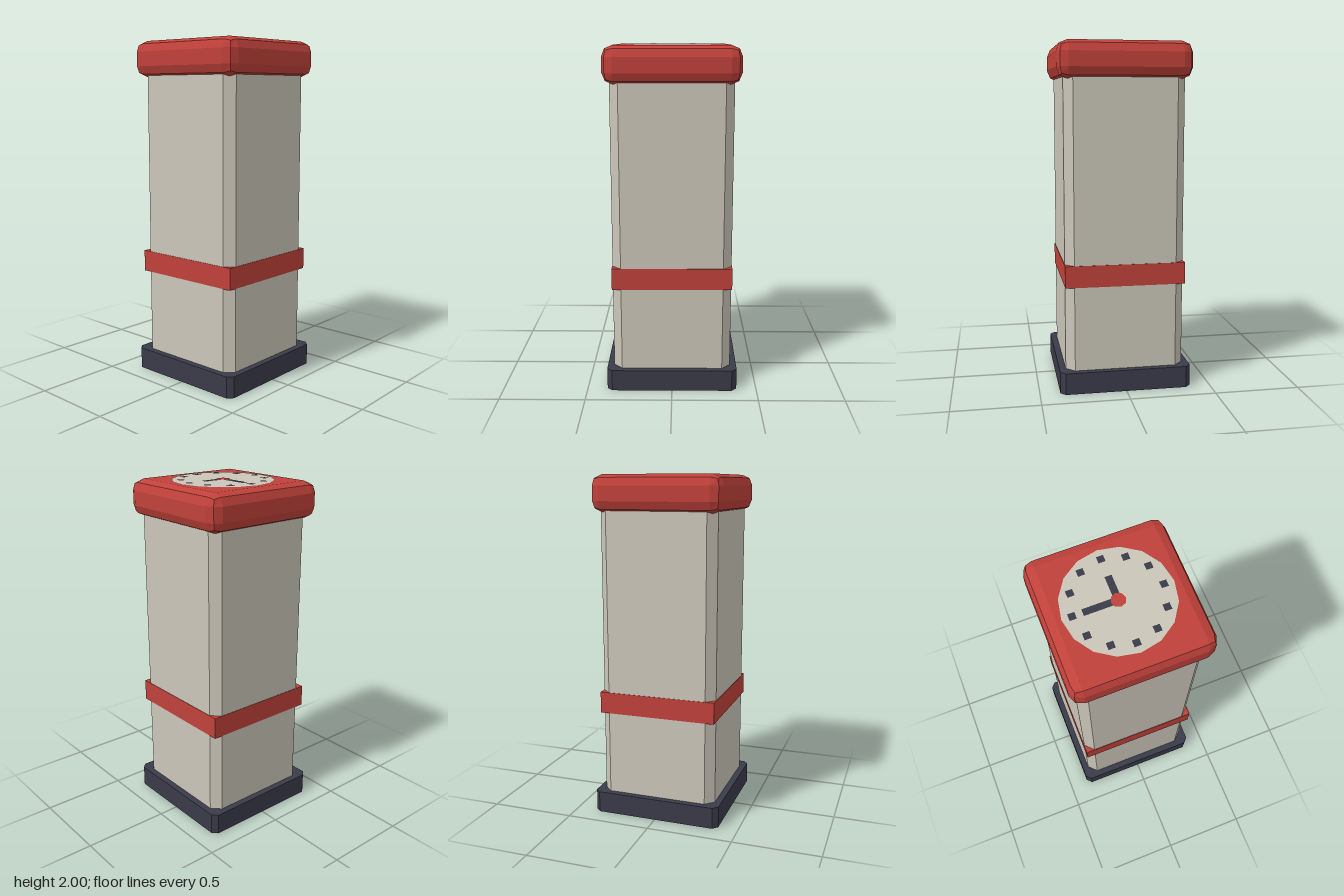
import * as THREE from 'three';
import { RoundedBoxGeometry } from 'three/addons/geometries/RoundedBoxGeometry.js';

const material = (name, color) => {
  const m = new THREE.MeshStandardMaterial({ color, flatShading: true });
  m.name = name;
  return m;
};

// Upright square prism with its four vertical corners cut off
function chamferedPrism(half, cut, height) {
  const a = half, b = half - cut;
  const outline = [[a, -b], [a, b], [b, a], [-b, a], [-a, b], [-a, -b], [-b, -a], [b, -a]];
  const shape = new THREE.Shape(outline.map(([x, y]) => new THREE.Vector2(x, y)));
  return new THREE.ExtrudeGeometry(shape, { depth: height, bevelEnabled: false }).rotateX(-Math.PI / 2);
}

export function createModel() {
  const model = new THREE.Group();
  model.name = 'clockPillar';
  const cream = material('cream', 0xcbc6b9);
  const red = material('red', 0xc0413a);
  const navy = material('navy', 0x3a3b49);

  const add = (name, geometry, mat, x = 0, y = 0, z = 0, parent = model) => {
    const mesh = new THREE.Mesh(geometry, mat);
    mesh.name = name;
    mesh.position.set(x, y, z);
    parent.add(mesh);
    return mesh;
  };

  // Pillar
  add('base', chamferedPrism(0.383, 0.03, 0.126), navy);
  add('column', chamferedPrism(0.345, 0.05, 1.7), cream, 0, 0.12);
  add('band', new THREE.BoxGeometry(0.695, 0.126, 0.695), red, 0, 0.68);
  add('cap', new RoundedBoxGeometry(0.766, 0.21, 0.766, 1, 0.063), red, 0, 1.891);

  // Clock dial lying on the cap
  const clock = new THREE.Group();
  clock.name = 'clock';
  clock.position.y = 1.996;
  model.add(clock);
  const flat = (g) => g.rotateX(-Math.PI / 2);
  add('dial', flat(new THREE.CircleGeometry(0.292, 16)), cream, 0, 0.0015, 0, clock);
  for (let i = 0; i < 12; i++) {
    const a = (i / 12) * Math.PI * 2;
    add('hourMark', flat(new THREE.PlaneGeometry(0.037, 0.037)), navy,
      0.238 * Math.sin(a), 0.003, -0.238 * Math.cos(a), clock);
  }
  add('minuteHand', flat(new THREE.PlaneGeometry(0.037, 0.184)), navy, 0, 0.003, -0.092, clock);
  add('hourHand', flat(new THREE.PlaneGeometry(0.139, 0.037)), navy, 0.0695, 0.003, 0, clock);
  add('hub', flat(new THREE.CircleGeometry(0.039, 8)), red, 0, 0.004, 0, clock);

  return model;
}
